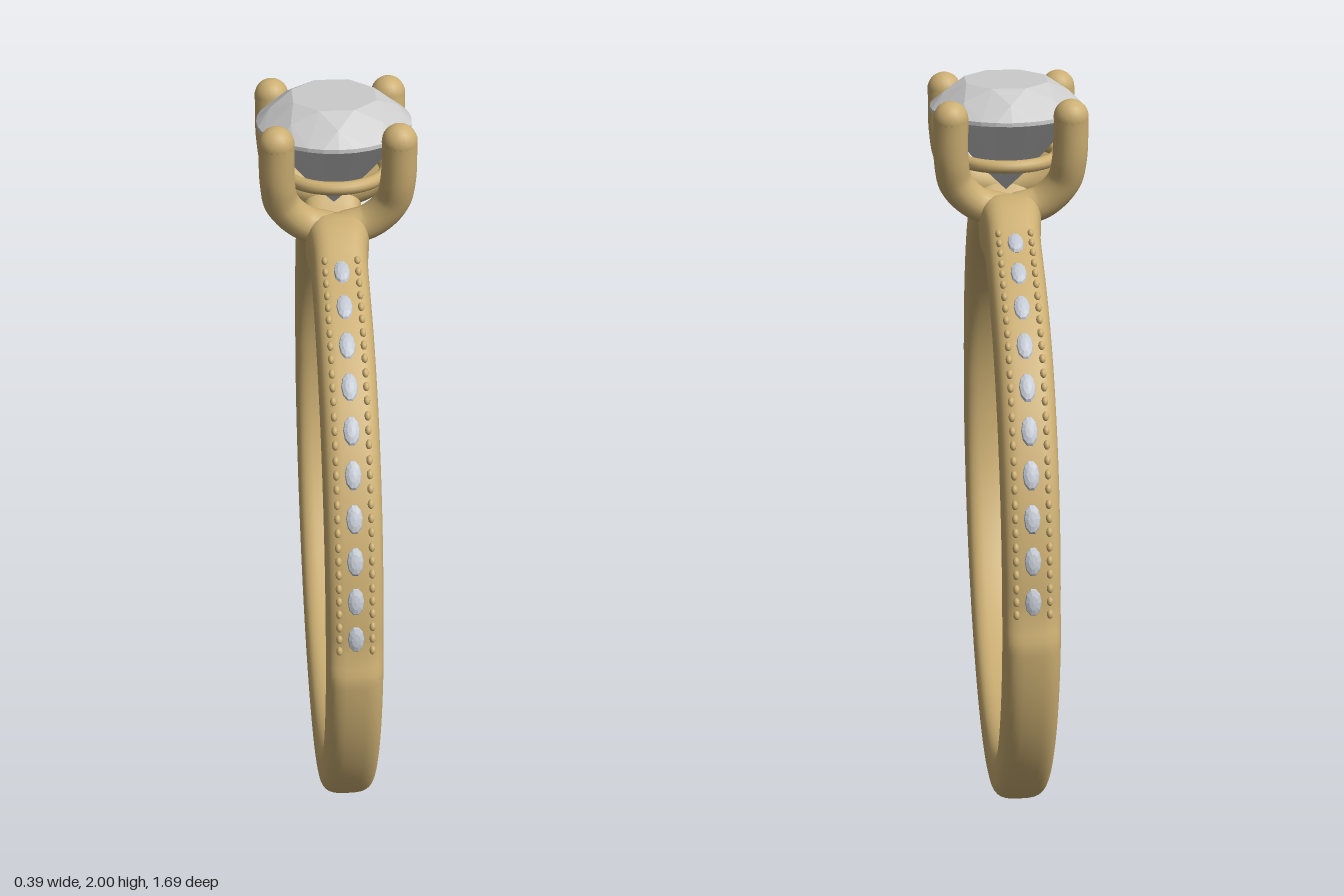
import * as THREE from 'three';
import { ConvexGeometry } from 'three/addons/geometries/ConvexGeometry.js';

const CENTRE = 0.85, INNER = 0.72, DEG = Math.PI / 180;
const gold = new THREE.MeshStandardMaterial({ color: 0xcbae72 });
const gemMat = new THREE.MeshStandardMaterial({ color: 0xcccccc, flatShading: true });
const stoneMat = new THREE.MeshStandardMaterial({ color: 0xc2c8d2, flatShading: true });

// Outer band radius by angle from the top (degrees): notch, shoulders, set area, plain shank
const PROFILE = [
  [0, 0.805], [2.5, 0.812], [4.5, 0.85], [6.5, 0.885], [9, 0.898], [12, 0.897], [15, 0.884],
  [18, 0.87], [22, 0.863], [30, 0.86], [45, 0.855], [60, 0.842], [75, 0.83],
  [86, 0.826], [89, 0.832], [92, 0.845], [180, 0.85],
];
function outerRadius(deg) {
  const a = Math.abs(deg);
  for (let i = 1; i < PROFILE.length; i++) {
    const [a0, r0] = PROFILE[i - 1], [a1, r1] = PROFILE[i];
    if (a <= a1) return r0 + (r1 - r0) * (a - a0) / (a1 - a0);
  }
  return 0.85;
}

function add(parent, name, geometry, material) {
  const mesh = new THREE.Mesh(geometry, material);
  mesh.name = name;
  parent.add(mesh);
  return mesh;
}

// Rounded-rectangle section swept round the finger
function bandGeometry() {
  const N = 288, M = 32, pos = [], index = [];
  const soft = (v) => Math.sign(v) * Math.pow(Math.abs(v), 2 / 3.2);
  for (let i = 0; i < N; i++) {
    const deg = -180 + (360 * i) / N, t = deg * DEG;
    const R = outerRadius(deg), mid = (R + INNER) / 2, half = (R - INNER) / 2;
    const width = 0.07 + 0.01 * Math.exp(-(((Math.abs(deg) - 9) / 4) ** 2));
    for (let j = 0; j < M; j++) {
      const u = (j / M) * Math.PI * 2;
      const r = mid + half * soft(Math.cos(u));
      pos.push(width * soft(Math.sin(u)), CENTRE + r * Math.cos(t), r * Math.sin(t));
      const a = i * M + j, b = ((i + 1) % N) * M + j;
      const c = i * M + (j + 1) % M, d = ((i + 1) % N) * M + (j + 1) % M;
      index.push(a, b, c, b, d, c);
    }
  }
  const g = new THREE.BufferGeometry();
  g.setAttribute('position', new THREE.Float32BufferAttribute(pos, 3));
  g.setIndex(index);
  g.computeVertexNormals();
  return g;
}

// Round brilliant: table, crown, girdle, pavilion, culet
function brilliantGeometry() {
  const pts = [new THREE.Vector3(0, 1.71, 0)];
  const ring = (n, r, y, turn) => {
    for (let i = 0; i < n; i++) {
      const a = ((i + turn) / n) * Math.PI * 2;
      pts.push(new THREE.Vector3(r * Math.cos(a), y, r * Math.sin(a)));
    }
  };
  ring(8, 0.112, 2.0, 0.5);
  ring(8, 0.16, 1.97, 0);
  ring(32, 0.195, 1.935, 0);
  ring(32, 0.195, 1.925, 0);
  ring(8, 0.066, 1.775, 0.5);
  return new ConvexGeometry(pts);
}

export function createModel() {
  const model = new THREE.Group();
  model.name = 'ring';
  add(model, 'band', bandGeometry(), gold);
  add(model, 'centreStone', brilliantGeometry(), gemMat);

  // Setting: four curved prongs and a gallery ring
  const setting = new THREE.Group();
  setting.name = 'setting';
  model.add(setting);
  for (const sx of [-1, 1]) for (const sz of [-1, 1]) {
    const prong = new THREE.Group();
    prong.name = (sz > 0 ? 'front' : 'back') + (sx > 0 ? 'Left' : 'Right') + 'Prong';
    const path = [
      [0.02, 1.69, 0.115], [0.085, 1.71, 0.115], [0.136, 1.765, 0.128],
      [0.149, 1.83, 0.147], [0.15, 1.94, 0.16],
    ].map(([x, y, z]) => new THREE.Vector3(sx * x, y, sz * z));
    const tube = new THREE.TubeGeometry(new THREE.CatmullRomCurve3(path), 32, 0.044, 16);
    add(prong, 'prongStem', tube, gold);
    add(prong, 'prongTip', new THREE.SphereGeometry(0.044, 20, 14), gold).position.copy(path[4]);
    setting.add(prong);
  }
  const gallery = add(setting, 'galleryRing', new THREE.TorusGeometry(0.132, 0.017, 12, 48), gold);
  gallery.rotation.x = Math.PI / 2;
  gallery.position.y = 1.806;

  // Small stones down both shoulders, with rows of beads beside them
  const stoneGeo = new THREE.SphereGeometry(1, 10, 6);
  const beadGeo = new THREE.SphereGeometry(1, 10, 8);
  const place = (parent, name, geo, mat, deg, x, sink, scale) => {
    const m = add(parent, name, geo, mat), r = outerRadius(deg) - sink;
    m.position.set(x, CENTRE + r * Math.cos(deg * DEG), r * Math.sin(deg * DEG));
    m.rotation.x = deg * DEG;
    m.scale.set(...scale);
  };
  for (const side of [1, -1]) {
    const row = new THREE.Group();
    row.name = side > 0 ? 'frontStoneRow' : 'backStoneRow';
    model.add(row);
    for (let i = 0; i < 10; i++) {
      const deg = 20.3 + 7.1 * i;
      place(row, 'smallStone', stoneGeo, stoneMat, side * deg, 0, 0.003, [0.021, 0.012, 0.038]);
      for (const x of [-0.04, 0.04]) for (const off of [-2.3, 0, 2.3]) {
        place(row, 'bead', beadGeo, gold, side * (deg + off), x, 0.003, [0.008, 0.01, 0.012]);
      }
    }
  }
  return model;
}
